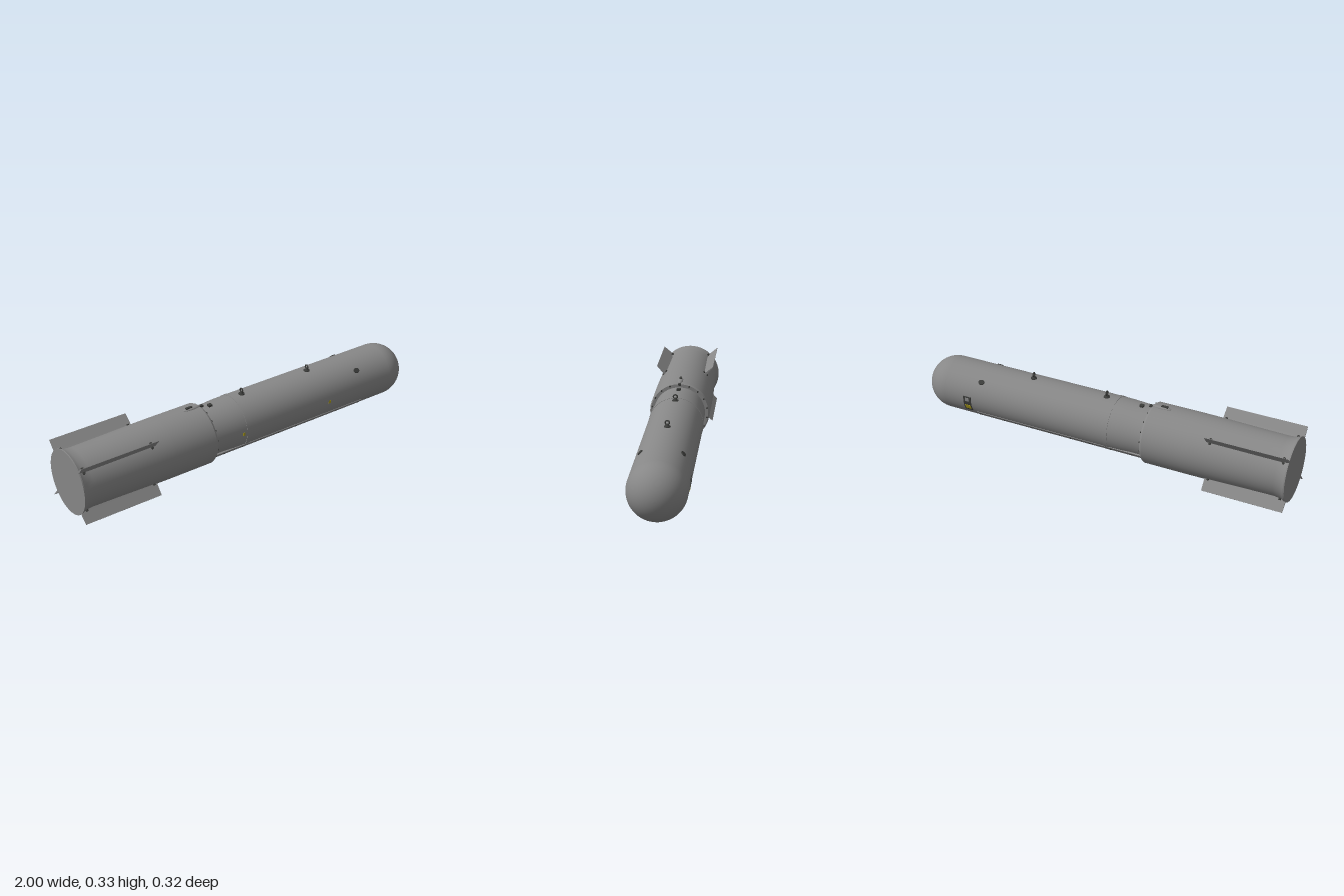
import * as THREE from 'three';

const CY = 0.162; // height of the long axis
const grey = new THREE.MeshStandardMaterial({ color: 0x878787 });
grey.name = 'body grey';
const dark = new THREE.MeshStandardMaterial({ color: 0x3c3d3b });
dark.name = 'dark fittings';
const yellow = new THREE.MeshStandardMaterial({ color: 0xa89a1e });
yellow.name = 'yellow marking';

// Body of revolution along x; each run is smooth, with a sharp edge between runs
function turned(runs) {
  const pts = runs.flat().map(([x, r]) => new THREE.Vector2(r, x));
  return new THREE.LatheGeometry(pts, 64).rotateZ(-Math.PI / 2);
}

// Cross-section in the (z, y) plane swept from x0 to x1
function sweep(points, x0, x1) {
  const shape = new THREE.Shape(points.map(([z, y]) => new THREE.Vector2(-z, y)));
  return new THREE.ExtrudeGeometry(shape, { depth: x1 - x0, bevelEnabled: false })
    .rotateY(Math.PI / 2).translate(x0, 0, 0);
}

// Curved plate hugging the body, centred on local +y
function shell(half, r0, r1, x0, x1) {
  const n = 8, points = [];
  const arc = (r, s) => {
    for (let i = 0; i <= n; i++) {
      const t = s * half * (2 * i / n - 1);
      points.push([r * Math.sin(t), r * Math.cos(t)]);
    }
  };
  arc(r0, 1);
  arc(r1, -1);
  return sweep(points, x0, x1);
}

export function createModel() {
  const root = new THREE.Group();
  root.name = 'finnedCanister';

  const add = (name, geometry, material, parent = root) => {
    const mesh = new THREE.Mesh(geometry, material);
    mesh.name = name;
    parent.add(mesh);
    return mesh;
  };
  // Stand a part on the body at angle a (0 = +z, quarter turn = up), local +y outwards
  const place = (obj, x, r, a) => {
    obj.position.set(x, CY + r * Math.sin(a), r * Math.cos(a));
    obj.rotation.x = Math.PI / 2 - a;
    return obj;
  };
  const UP = Math.PI / 2;

  // Forward body with domed nose
  const dome = [];
  for (let i = 0; i <= 20; i++) {
    const t = i / 20 * UP;
    dome.push([0.862 + 0.138 * Math.sin(t), i === 20 ? 0 : 0.138 * Math.cos(t)]);
  }
  add('forwardBody', turned([
    [[-0.27, 0.133], [-0.2, 0.133], [-0.14, 0.1365], [-0.08, 0.1375]],
    [[-0.05, 0.138], [0.862, 0.138]], dome,
  ]), grey).position.y = CY;
  add('jointBand', turned([
    [[-0.075, 0.136], [-0.075, 0.1395]], [[-0.075, 0.1395], [-0.052, 0.1395]],
    [[-0.052, 0.1395], [-0.052, 0.136]],
  ]), grey).position.y = CY;

  // Tail section: closed end, flared rim, slight waist, chamfered shoulder
  add('tailSection', turned([
    [[-1, 0], [-1, 0.162]], [[-1, 0.162], [-0.994, 0.162]],
    [[-0.994, 0.162], [-0.975, 0.153], [-0.94, 0.149], [-0.8, 0.151], [-0.6, 0.155], [-0.5, 0.156]],
    [[-0.5, 0.156], [-0.268, 0.156]], [[-0.268, 0.156], [-0.258, 0.15]],
    [[-0.258, 0.15], [-0.258, 0.13]],
  ]), grey).position.y = CY;

  // Screws around the shoulder
  const screw = new THREE.CylinderGeometry(0.0045, 0.0045, 0.008, 10).rotateZ(UP);
  for (let i = 0; i < 18; i++) {
    place(add('shoulderScrew', screw, dark), -0.258, 0.146, UP + i * Math.PI / 9);
  }

  // Four wedge-section fins with root bolts
  const finShape = sweep([[-0.008, 0.142], [0.008, 0.142], [0.006, 0.16], [0.001, 0.216],
    [-0.001, 0.216], [-0.006, 0.16]], -1, -0.59);
  const bolt = new THREE.CylinderGeometry(0.006, 0.007, 0.016, 10);
  for (let i = 0; i < 4; i++) {
    const fin = new THREE.Group();
    fin.name = 'fin';
    add('finBlade', finShape, grey, fin);
    for (const x of [-0.972, -0.608]) {
      for (const s of [-1, 1]) add('finBolt', bolt, dark, fin).position.set(x, 0.153, s * 0.011);
    }
    root.add(place(fin, 0, 0, Math.PI / 4 + i * UP));
  }

  // Side raceways with a row of fasteners
  const fastener = new THREE.CylinderGeometry(0.006, 0.006, 0.004, 10);
  for (const a of [-0.66, Math.PI + 0.66]) {
    place(add('raceway', shell(0.11, 0.13, 0.1405, -0.258, 0.68), grey), 0, 0, a);
    for (const x of [-0.2, -0.085, 0.03, 0.14, 0.25, 0.36, 0.52, 0.66]) {
      place(add('racewayFastener', fastener, dark), x, 0.14, a);
    }
  }

  // Suspension lugs: pad, tapering foot and upright eye
  const eye = new THREE.TorusGeometry(0.01, 0.0035, 8, 16).rotateY(UP);
  for (const x of [-0.012, 0.4]) {
    const lug = new THREE.Group();
    lug.name = 'lug';
    add('lugPad', new THREE.CylinderGeometry(0.015, 0.017, 0.006, 16), dark, lug);
    add('lugFoot', new THREE.CylinderGeometry(0.004, 0.012, 0.012, 12), dark, lug).position.y = 0.008;
    add('lugEye', eye, dark, lug).position.y = 0.0195;
    root.add(place(lug, x, 0.139, UP));
  }

  // Cable cover and small fittings on the tail's upper shoulder
  const cover = new THREE.SphereGeometry(1, 20, 12).scale(0.05, 0.009, 0.014);
  place(add('cableCover', cover, grey), -0.31, 0.155, UP);
  const fittings = [[-0.325, 0.163, 0.035, 0.012], [-0.255, 0.151, 0.02, 0.014], [-0.203, 0.138, 0.02, 0.02]];
  for (const [x, r, l, w] of fittings) {
    place(add('topFitting', new THREE.BoxGeometry(l, 0.01, w), dark), x, r, UP);
  }

  // Oval ports on both upper flanks near the nose
  const port = new THREE.CylinderGeometry(0.013, 0.015, 0.008, 20).scale(1.25, 1, 1);
  for (const a of [0.79, Math.PI - 0.79]) place(add('ovalPort', port, dark), 0.655, 0.138, a);

  // Access panel on the rear flank, with yellow label
  place(add('accessPanel', shell(0.32, 0.135, 0.1395, 0.7, 0.745), dark), 0, 0, Math.PI + 0.2);
  place(add('panelLabel', shell(0.1, 0.137, 0.1405, 0.706, 0.739), yellow), 0, 0, Math.PI + 0.34);
  place(add('panelCatch', shell(0.07, 0.137, 0.141, 0.712, 0.733), grey), 0, 0, Math.PI);

  // Small yellow markers on the front flank
  for (const x of [-0.093, 0.448]) {
    place(add('balanceMarker', shell(0.06, 0.135, 0.1385, x - 0.007, x + 0.007), yellow), 0, 0, 0);
  }
  return root;
}
